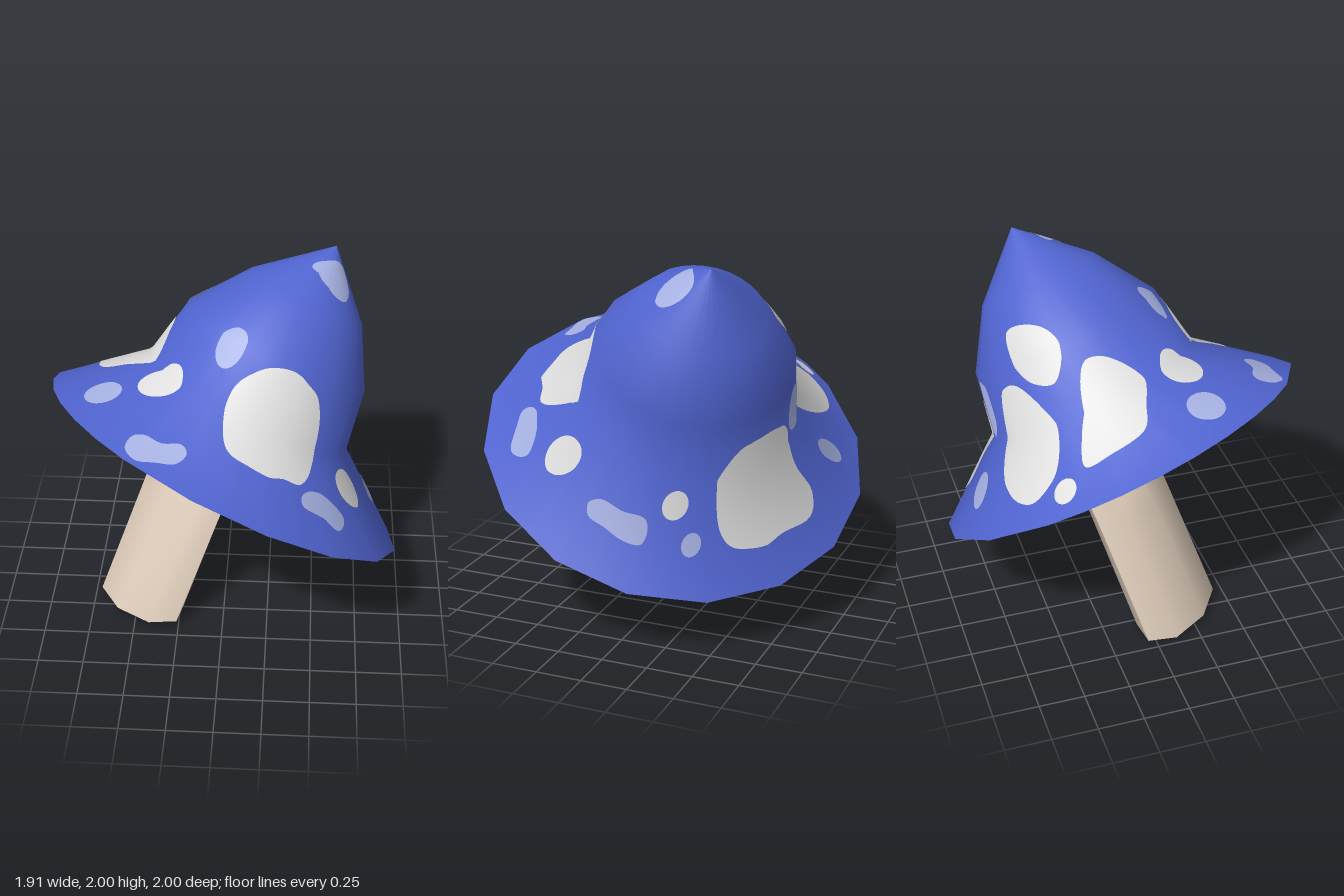
import * as THREE from 'three';
import { toCreasedNormals } from 'three/addons/utils/BufferGeometryUtils.js';

const SIDES = 16, STEP = (Math.PI * 2) / SIDES, PHASE = THREE.MathUtils.degToRad(16.2);

// Cap rings: radius, height, sideways shift, normal (radial, axial)
const RINGS = [
  [1.06, 0, 0, 0.67, 0.74],
  [0.605, 0.37, -0.045, 0.87, 0.49],
  [0.54, 0.715, -0.045, 0.93, 0.37],
  [0.335, 1.03, -0.02, 0.74, 0.67],
  [0, 1.34, 0, 0.62, 0.79],
];

// Tilted frame of the cap, origin at the middle of the rim
const N = new THREE.Vector3(0.427, 0.846, -0.317).normalize();
const U = new THREE.Vector3(N.y, -N.x, 0).normalize();
const V = new THREE.Vector3().crossVectors(U, N);
const frame = new THREE.Matrix4().makeBasis(U, N, V).setPosition(0, 0.865, 0);
const unframe = frame.clone().invert();

// Ring values interpolated at a height
function ringAt(h) {
  let i = 0;
  while (i < RINGS.length - 2 && h > RINGS[i + 1][1]) i++;
  const a = RINGS[i], b = RINGS[i + 1];
  const t = (h - a[1]) / (b[1] - a[1]);
  return a.map((v, k) => v + (b[k] - v) * t);
}

// Polygon radius factor: the raised quarter of the cap has twice as many sides
function facet(angle) {
  const turn = THREE.MathUtils.euclideanModulo(angle - PHASE, Math.PI * 2);
  const step = turn > 5 * STEP && turn < 9 * STEP ? STEP / 2 : STEP;
  return Math.cos(step / 2) / Math.cos((turn % step) - step / 2);
}

// Smooth cap normal and point on the faceted cap, in world space
function capPoint(angle, h, lift) {
  const [r, , shift, nr, nh] = ringAt(h);
  const rad = r * facet(angle), c = Math.cos(angle), s = Math.sin(angle);
  const normal = new THREE.Vector3(c * nr, nh, s * nr).normalize();
  const point = new THREE.Vector3(shift + c * rad, h, s * rad).addScaledVector(normal, lift);
  return { point: point.applyMatrix4(frame), normal: normal.transformDirection(frame) };
}

// Projection directions used to lay the spots on the cap
function projector(azimuth, elevation) {
  const az = THREE.MathUtils.degToRad(azimuth), el = THREE.MathUtils.degToRad(elevation);
  const right = new THREE.Vector3(Math.cos(az), 0, -Math.sin(az));
  const toward = new THREE.Vector3(Math.sin(az) * Math.cos(el), Math.sin(el), Math.cos(az) * Math.cos(el));
  return { right, toward, up: new THREE.Vector3().crossVectors(toward, right) };
}
const FRONT = projector(0, 0), SIDE = projector(90, 0), TOP = projector(0, 90);
const REAR = projector(215, 24), UNDER = projector(140, -29);

// Clockwise ellipse outline
function oval(x, y, rx, ry, degrees = 0) {
  const q = THREE.MathUtils.degToRad(degrees);
  return Array.from({ length: 12 }, (_, i) => {
    const t = (i / 12) * Math.PI * 2, a = rx * Math.cos(t), b = -ry * Math.sin(t);
    return [x + a * Math.cos(q) - b * Math.sin(q), y + a * Math.sin(q) + b * Math.cos(q)];
  });
}

const WHITE_SPOTS = [
  [FRONT, [[0.01, 1.44], [0.06, 1.56], [0.16, 1.63], [0.25, 1.65], [0.38, 1.62], [0.44, 1.55], [0.49, 1.47],
    [0.5, 1.31], [0.46, 1.16], [0.42, 1.15], [0.32, 1.21], [0.16, 1.29], [0.03, 1.37]]],
  [UNDER, [[-0.14, 0.93], [-0.09, 1.13], [0.01, 1.3], [0.11, 1.32], [0.26, 1.32], [0.36, 1.2], [0.38, 1.08],
    [0.46, 0.97], [0.41, 0.91], [0.21, 0.89], [0.04, 0.86], [-0.1, 0.87]]],
  [REAR, [[-0.39, 1.33], [-0.3, 1.4], [-0.17, 1.42], [-0.05, 1.37], [-0.01, 1.26], [-0.02, 1.17], [-0.14, 1.14], [-0.27, 1.2]]],
  [REAR, [[0.08, 1.33], [0.14, 1.37], [0.28, 1.33], [0.43, 1.2], [0.51, 1.1], [0.44, 0.96], [0.35, 0.86], [0.24, 0.96], [0.13, 1.14]]],
  [REAR, [[-0.31, 1.03], [-0.24, 1.09], [-0.04, 1.03], [0.1, 0.93], [0.19, 0.81], [0.21, 0.73], [0.16, 0.6],
    [0.03, 0.56], [-0.12, 0.61], [-0.24, 0.73], [-0.29, 0.86]]],
  [REAR, oval(0.315, 0.725, 0.064, 0.062)],
  [TOP, oval(-0.33, -0.24, 0.12, 0.11, 20)],
  [SIDE, oval(-0.36, 0.96, 0.108, 0.088, 20)],
  [SIDE, oval(0.27, 0.77, 0.06, 0.07)],
];
const PALE_SPOTS = [
  [TOP, [[-0.47, -0.71], [-0.44, -0.63], [-0.39, -0.62], [-0.29, -0.66], [-0.19, -0.65], [-0.16, -0.7],
    [-0.21, -0.77], [-0.31, -0.78], [-0.42, -0.78]]],
  [SIDE, [[-0.16, 0.77], [-0.1, 0.79], [0.02, 0.74], [0.14, 0.71], [0.16, 0.65], [0.14, 0.59], [0.05, 0.6], [-0.06, 0.66], [-0.15, 0.71]]],
  [SIDE, [[-0.72, 1.09], [-0.67, 1.12], [-0.61, 1.11], [-0.57, 1.04], [-0.58, 0.93], [-0.64, 0.91], [-0.7, 0.93], [-0.71, 1.02]]],
  [REAR, [[-0.55, 1.0], [-0.48, 1.0], [-0.42, 0.92], [-0.37, 0.8], [-0.39, 0.73], [-0.45, 0.75], [-0.51, 0.83], [-0.55, 0.93]]],
  [REAR, oval(-0.31, 0.47, 0.06, 0.095, 20)],
  [TOP, oval(-0.63, -0.27, 0.1, 0.1)],
  [TOP, oval(0.04, -0.2, 0.088, 0.07, 30)],
  [SIDE, oval(0.24, 1.88, 0.12, 0.06, 35)],
  [SIDE, oval(0.37, 0.58, 0.045, 0.058)],
];

// Thin patch following the cap, one skin outside and one inside
function spotGeometry(cap, [view, outline]) {
  const curve = new THREE.CatmullRomCurve3(outline.map(([a, b]) => new THREE.Vector3(a, b, 0)), true);
  const ray = new THREE.Raycaster(), edge = [];
  for (const p of curve.getPoints(60).slice(0, 60)) {
    const from = view.toward.clone().multiplyScalar(5).addScaledVector(view.right, p.x).addScaledVector(view.up, p.y);
    ray.set(from, view.toward.clone().negate());
    const hit = ray.intersectObject(cap)[0];
    if (!hit) continue;
    const q = hit.point.clone().applyMatrix4(unframe);
    let angle = Math.atan2(q.z, q.x - ringAt(q.y)[2]);
    if (edge.length) angle += Math.round((edge[0][0] - angle) / (Math.PI * 2)) * Math.PI * 2;
    edge.push([angle, q.y]);
  }
  const n = edge.length, loops = 20, pos = [], nor = [], index = [];
  const mid = [0, 1].map((k) => edge.reduce((sum, e) => sum + e[k], 0) / n);
  for (const lift of [0.0048, -0.0048]) {
    const base = pos.length / 3;
    for (let j = 0; j <= loops; j++) {
      for (let i = 0; i < n; i++) {
        const [a, h] = mid.map((m, k) => m + ((edge[i][k] - m) * j) / loops);
        const { point, normal } = capPoint(a, h, lift);
        pos.push(...point.toArray());
        nor.push(...normal.toArray());
        if (j === loops) continue;
        const p = base + j * n + i, q = base + j * n + ((i + 1) % n);
        index.push(p, q + n, p + n);
        if (j > 0) index.push(p, q, q + n);
      }
    }
  }
  const geo = new THREE.BufferGeometry();
  geo.setAttribute('position', new THREE.Float32BufferAttribute(pos, 3));
  geo.setAttribute('normal', new THREE.Float32BufferAttribute(nor, 3));
  return geo.setIndex(index);
}

// Stem section through rings of x, y, z, long radius, short radius, lean;
// the long radius lies along the diagonal between +x and +z
function stemGeometry(rings) {
  const last = rings.length - 1, turn = THREE.MathUtils.degToRad(47);
  const geo = new THREE.CylinderGeometry(1, 1, 1, 8, last);
  const p = geo.attributes.position;
  for (let i = 0; i < p.count; i++) {
    const [x, y, z, long, short, lean] = rings[Math.round((p.getY(i) + 0.5) * last)];
    const a = p.getX(i) * long, b = p.getZ(i) * short;
    const dx = a * Math.cos(turn) - b * Math.sin(turn), dz = a * Math.sin(turn) + b * Math.cos(turn);
    p.setXYZ(i, x + dx, y + dz * lean, z + dz);
  }
  return toCreasedNormals(geo, 1.0);
}

function material(name, color, side = THREE.FrontSide) {
  const m = new THREE.MeshStandardMaterial({ color, side });
  m.name = name;
  return m;
}

export function createModel() {
  const group = new THREE.Group();
  group.name = 'mushroom';
  const add = (name, geometry, mat) => {
    const mesh = new THREE.Mesh(geometry, mat);
    mesh.name = name;
    group.add(mesh);
    return mesh;
  };
  const blue = material('capBlue', 0x5064d0, THREE.DoubleSide);
  const white = material('spotWhite', 0xdedede, THREE.DoubleSide);
  const pale = material('spotPaleBlue', 0xa6b1e2, THREE.DoubleSide);

  // Cap: open tilted bell
  const bell = new THREE.LatheGeometry(RINGS.map(([r, h]) => new THREE.Vector2(r, h)), SIDES * 2, Math.PI / 2 - PHASE);
  const p = bell.attributes.position;
  for (let i = 0; i < p.count; i++) {
    const f = facet(Math.atan2(p.getZ(i), p.getX(i)));
    p.setXYZ(i, p.getX(i) * f + ringAt(p.getY(i))[2], p.getY(i), p.getZ(i) * f);
  }
  const cap = add('cap', bell.applyMatrix4(frame), blue);
  cap.updateMatrixWorld(true);

  // Spots
  WHITE_SPOTS.forEach((s, i) => add('whiteSpot' + (i + 1), spotGeometry(cap, s), white));
  PALE_SPOTS.forEach((s, i) => add('paleSpot' + (i + 1), spotGeometry(cap, s), pale));

  // Bent stem with a darker upper section under the cap
  const collar = [-0.06, 0.97, -0.12, 0.31, 0.165, 0];
  add('stem', stemGeometry([[-0.475, 0.02, 0.19, 0.315, 0.18, 0.07], [-0.22, 0.69, -0.02, 0.315, 0.17, 0], collar]),
    material('stemCream', 0xdccab8));
  add('stemTop', stemGeometry([collar, [0.17, 1.37, -0.27, 0.29, 0.16, 0]]), material('stemTan', 0xcb9c83));
  return group;
}
